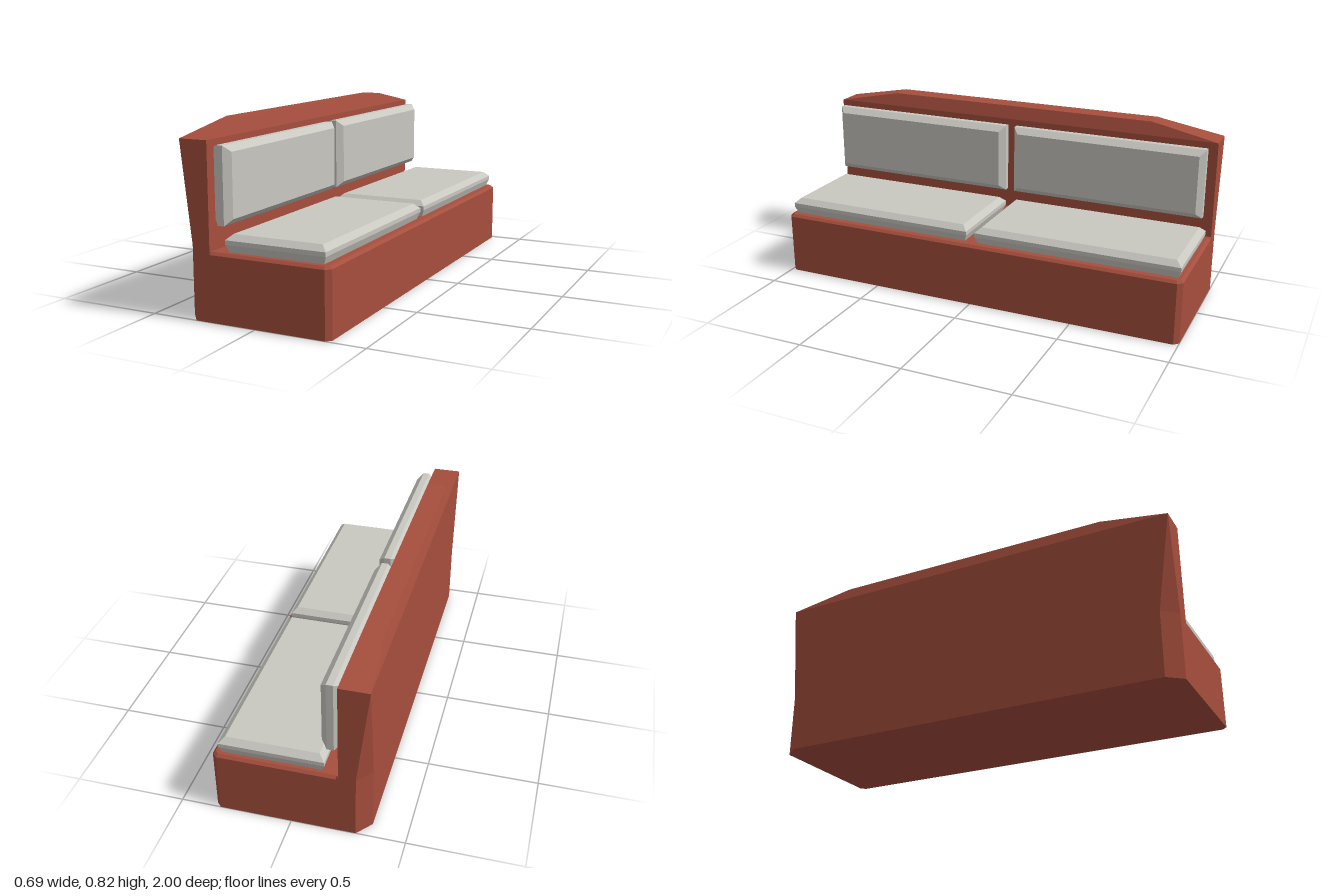
import * as THREE from 'three';

const red = new THREE.MeshStandardMaterial({ name: 'red upholstery', color: 0xa64e3d });
const grey = new THREE.MeshStandardMaterial({ name: 'grey cushion', color: 0xc8c7c0 });

// Faceted solid through rings of [x, y, z] points, counter-clockwise seen from the last ring
function loft(name, material, rings) {
  const pos = [];
  const tri = (a, b, c) => pos.push(...a, ...b, ...c);
  const n = rings[0].length;
  for (let r = 0; r < rings.length - 1; r++) {
    const a = rings[r], b = rings[r + 1];
    for (let i = 0; i < n; i++) {
      const j = (i + 1) % n;
      tri(a[i], a[j], b[j]);
      tri(a[i], b[j], b[i]);
    }
  }
  const first = rings[0], last = rings[rings.length - 1];
  for (let i = 1; i < n - 1; i++) {
    tri(first[0], first[i + 1], first[i]);
    tri(last[0], last[i], last[i + 1]);
  }
  const geometry = new THREE.BufferGeometry();
  geometry.setAttribute('position', new THREE.Float32BufferAttribute(pos, 3));
  geometry.computeVertexNormals();
  const mesh = new THREE.Mesh(geometry, material);
  mesh.name = name;
  return mesh;
}

// Ring at height y from the +z half of a plan, mirrored to -z
const plan = (y, half) => [
  ...half.map(([x, z]) => [x, y, z]),
  ...half.slice().reverse().map(([x, z]) => [x, y, -z]),
];

// Base with chamfered front corners and top edge, and wide back chamfers
function makeBase() {
  const lower = [[-0.2, 1], [0.321, 1], [0.343, 0.978]];
  const upper = [[-0.2, 0.988], [0.315, 0.988], [0.331, 0.972]];
  const back = [[-0.343, 0.93], [-0.285, 1], [-0.21, 1]];
  const ring = (y, front) => [
    ...plan(y, front),
    ...back.slice().reverse().map(([x, z]) => [x, y, -z]),
    ...back.map(([x, z]) => [x, y, z]),
  ];
  return loft('base', red, [ring(0, lower), ring(0.288, lower), ring(0.3, upper)]);
}

// Backrest whose corner chamfers fade out upward, with a narrower raised ridge
function makeBackrest() {
  return loft('backrest', red, [
    plan(0.3, [[-0.343, 0.93], [-0.285, 1], [-0.21, 1]]),
    plan(0.76, [[-0.343, 1], [-0.343, 1], [-0.21, 1]]),
    plan(0.822, [[-0.325, 0.68], [-0.325, 0.68], [-0.23, 0.68]]),
  ]);
}

function makeSeatCushion(name, z0, z1) {
  const ring = (y, d) => [
    [-0.148 + d, y, z1 - d], [0.315 - d, y, z1 - d],
    [0.315 - d, y, z0 + d], [-0.148 + d, y, z0 + d],
  ];
  return loft(name, grey, [ring(0.3, 0.013), ring(0.333, 0), ring(0.352, 0), ring(0.376, 0.026)]);
}

function makeBackCushion(name, z0, z1) {
  const ring = (x, d, dTop = d) => [
    [x, 0.408 + d, z0 + d], [x, 0.739 - dTop, z0 + d],
    [x, 0.739 - dTop, z1 - d], [x, 0.408 + d, z1 - d],
  ];
  return loft(name, grey, [
    ring(-0.212, 0.026, 0.013), ring(-0.183, 0), ring(-0.153, 0), ring(-0.125, 0.027),
  ]);
}

export function createModel() {
  const group = new THREE.Group();
  group.name = 'bench';
  group.add(
    makeBase(),
    makeBackrest(),
    makeSeatCushion('seatCushionNear', 0.027, 0.978),
    makeSeatCushion('seatCushionFar', -0.985, -0.015),
    makeBackCushion('backCushionNear', 0.03, 0.975),
    makeBackCushion('backCushionFar', -0.962, -0.015),
  );
  return group;
}
